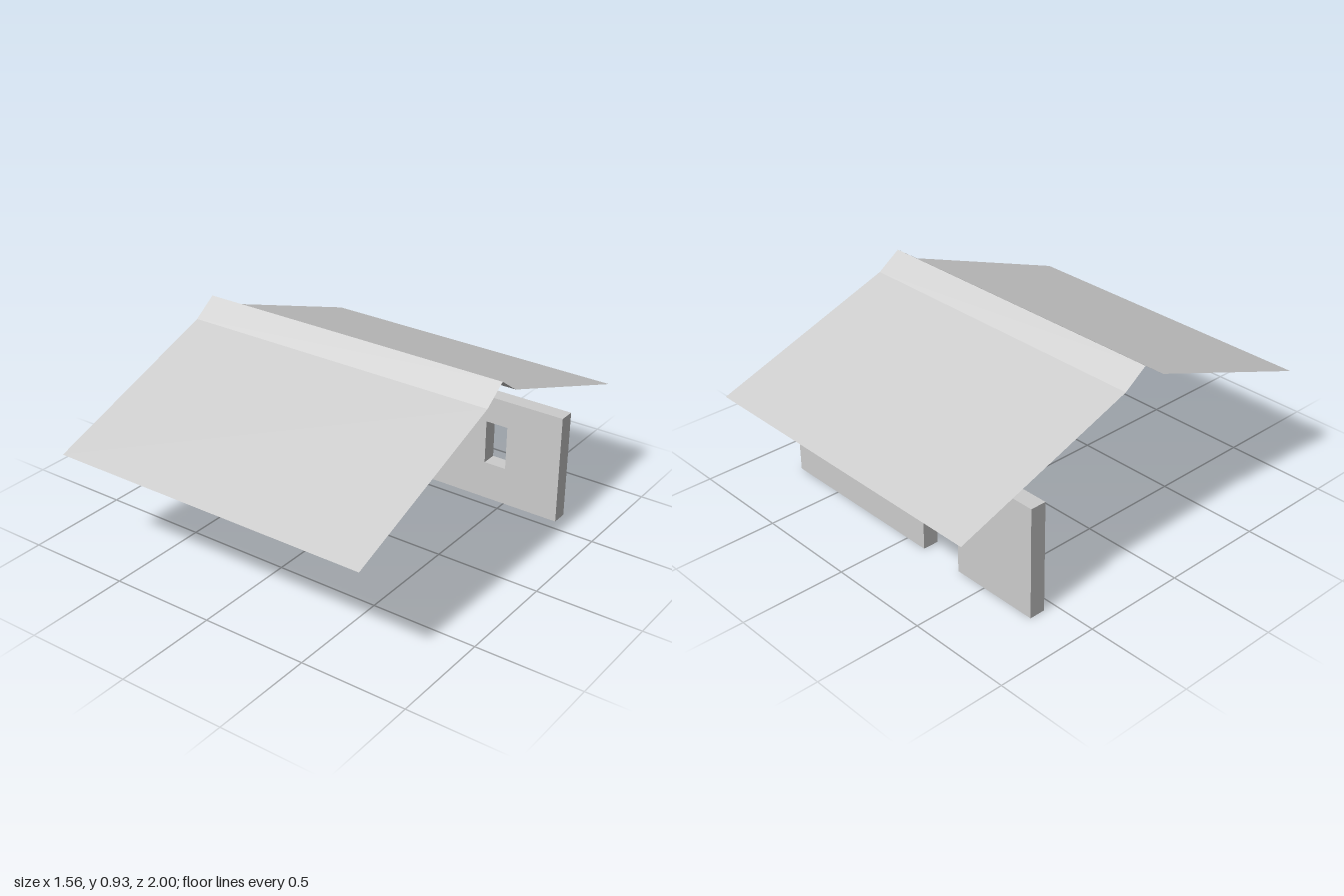
import * as THREE from 'three';

const HALF = 0.78;     // half length along x
const EAVE = 0.534;    // wall top and eave height

// Zero-thickness sheet swept along x from a [z, y] profile, running from front to back
function sheet(profile) {
  const pos = [];
  for (let i = 0; i < profile.length - 1; i++) {
    const [z0, y0] = profile[i], [z1, y1] = profile[i + 1];
    const a = [-HALF, y0, z0], b = [HALF, y0, z0], c = [HALF, y1, z1], d = [-HALF, y1, z1];
    pos.push(...a, ...b, ...c, ...a, ...c, ...d);
  }
  const geo = new THREE.BufferGeometry();
  geo.setAttribute('position', new THREE.Float32BufferAttribute(pos, 3));
  geo.computeVertexNormals();
  return geo;
}

// Rectangle outline for wall panels and openings
function rect(PathType, x0, y0, x1, y1) {
  const p = new PathType();
  p.moveTo(x0, y0);
  p.lineTo(x1, y0);
  p.lineTo(x1, y1);
  p.lineTo(x0, y1);
  p.closePath();
  return p;
}

export function createModel() {
  const group = new THREE.Group();
  const plaster = new THREE.MeshStandardMaterial({ color: 0xcccccc, side: THREE.DoubleSide });
  plaster.name = 'light grey';

  const add = (name, geo) => {
    const mesh = new THREE.Mesh(geo, plaster);
    mesh.name = name;
    group.add(mesh);
    return mesh;
  };

  // Roof: shallow slopes with a steeper cap at the ridge
  add('frontRoof', sheet([[1, EAVE], [0.112, 0.855], [0, 0.934]]));
  add('backRoof', sheet([[0, 0.934], [-0.112, 0.855], [-1, EAVE]]));

  // Wall panels either side of the full-height doorway
  const wall = (name, shape) => {
    const geo = new THREE.ExtrudeGeometry(shape, { depth: 0.077, bevelEnabled: false });
    add(name, geo).position.z = -0.633;
  };
  wall('rightWall', rect(THREE.Shape, -HALF, 0, -0.337, EAVE));
  const windowWall = rect(THREE.Shape, -0.113, 0, HALF, EAVE);
  windowWall.holes.push(rect(THREE.Path, 0.388, 0.187, 0.5, 0.403));
  wall('leftWindowWall', windowWall);

  return group;
}
